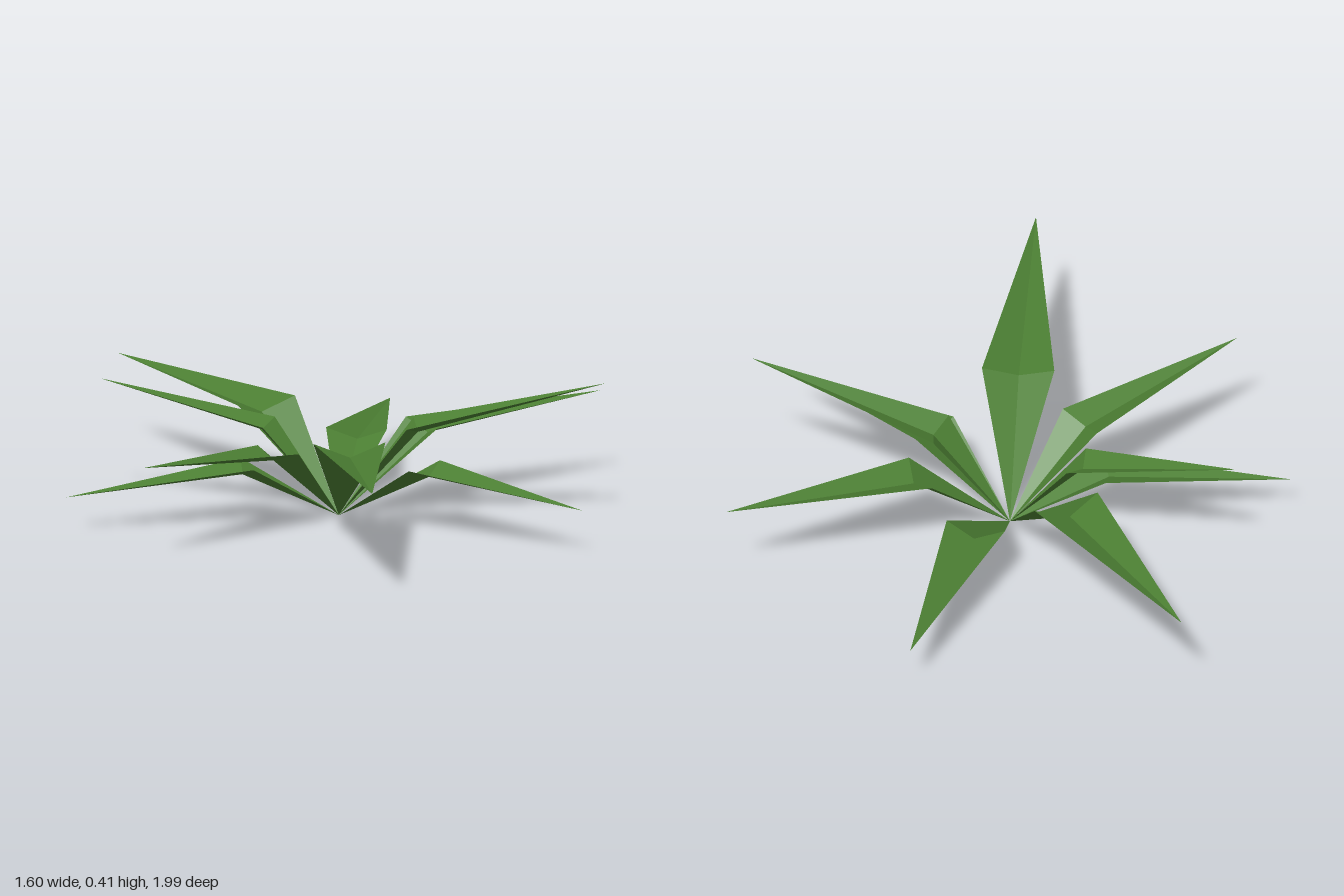
import * as THREE from 'three';

// One folded leaf pointing along +z: rises from the root, bends at its widest
// point, then tapers to a tip. The middle fold (keel) hangs below the two edges.
function leafGeometry({ bend, bendY, half, reach, tipY }) {
  const slope = Math.atan2(bendY, bend);
  const sag = half * 0.43; // keel depth, pushed out and down
  const root = [0, 0, 0];
  const tip = [0, tipY, reach];
  const left = [half, bendY, bend];
  const right = [-half, bendY, bend];
  const keel = [0, bendY - sag * Math.cos(slope / 1.2), bend + sag * Math.sin(slope / 1.2)];
  const triangles = [
    root, keel, left,
    root, right, keel,
    keel, tip, left,
    right, tip, keel,
  ];
  const geometry = new THREE.BufferGeometry();
  geometry.setAttribute('position', new THREE.Float32BufferAttribute(triangles.flat(), 3));
  geometry.computeVertexNormals();
  return geometry;
}

export function createModel() {
  const plant = new THREE.Group();
  plant.name = 'plant';
  const green = new THREE.MeshStandardMaterial({
    color: 0x4c7f33, flatShading: true, side: THREE.DoubleSide,
  });

  // Tip offset from the root (x, y, z), then distance, height and half width at the bend
  const leaves = [
    [-0.53, 0.27, -0.91, 0.345, 0.27, 0.102],
    [0.25, 0.125, -0.87, 0.31, 0.18, 0.088],
    [0.80, 0.255, -0.37, 0.278, 0.237, 0.086],
    [0.75, 0.415, 0.19, 0.206, 0.277, 0.076],
    [0.64, 0.13, 0.55, 0.296, 0.187, 0.08],
    [-0.03, 0.33, 1.08, 0.34, 0.297, 0.104],
    [-0.63, 0.29, 0.54, 0.256, 0.24, 0.08],
    [-0.80, 0.10, 0.10, 0.27, 0.167, 0.076],
    [-0.66, 0.362, -0.25, 0.207, 0.262, 0.07],
  ];

  leaves.forEach(([x, tipY, z, bend, bendY, half], i) => {
    const leaf = new THREE.Mesh(
      leafGeometry({ bend, bendY, half, reach: Math.hypot(x, z), tipY }), green);
    leaf.name = `leaf${i + 1}`;
    leaf.rotation.y = Math.atan2(x, z);
    leaf.position.z = -0.09; // shared root
    plant.add(leaf);
  });
  return plant;
}
